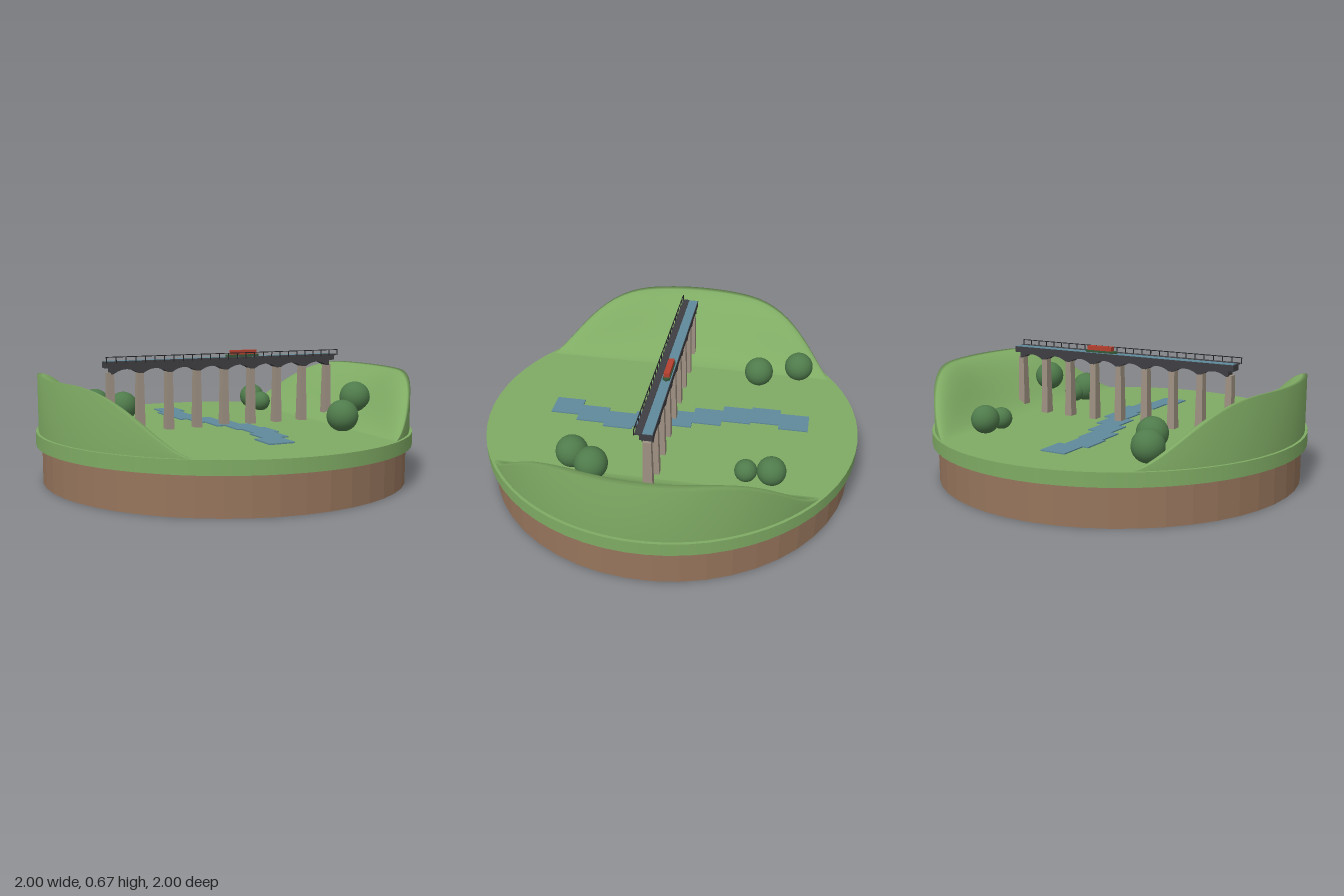
import * as THREE from 'three';

const mat = (name, color, extra = {}) => {
  const m = new THREE.MeshStandardMaterial({ color, ...extra });
  m.name = name;
  return m;
};

export function createModel() {
  const grass = mat('grass', 0x7fab64, { side: THREE.DoubleSide });
  const earth = mat('earth', 0x96755c);
  const stone = mat('stone', 0x9e9182);
  const iron = mat('iron', 0x3f3f43);
  const railing = mat('railing', 0x242427);
  const water = mat('water', 0x5f8a9b);
  const foliage = mat('foliage', 0x4f7b4b);
  const red = mat('cabinRed', 0xb5402f);
  const hullGreen = mat('hullGreen', 0x35583a);

  const model = new THREE.Group();
  model.name = 'canalBridgeLandscape';
  // Valley and bridge share one frame, turned 20 degrees
  const valley = new THREE.Group();
  valley.name = 'valley';
  valley.rotation.y = -THREE.MathUtils.degToRad(20);
  model.add(valley);

  const add = (parent, name, geo, material, x = 0, y = 0, z = 0) => {
    const m = new THREE.Mesh(geo, material);
    m.name = name;
    m.position.set(x, y, z);
    parent.add(m);
    return m;
  };
  const box = (parent, name, w, h, d, material, x, y, z) =>
    add(parent, name, new THREE.BoxGeometry(w, h, d), material, x, y, z);
  const faceted = (geo) => {
    const g = geo.toNonIndexed();
    g.computeVertexNormals();
    return g;
  };

  // Round base: earth drum and grass disc
  add(model, 'earthBase', faceted(new THREE.CylinderGeometry(0.97, 0.97, 0.2, 48)), earth, 0, 0.1, 0);
  add(model, 'grassDisc', new THREE.CylinderGeometry(1, 1, 0.07, 64), grass, 0, 0.233, 0);

  // Hillsides: rise from a straight foot to the round rim, then drop as a wall
  const smooth = (t) => THREE.MathUtils.smoothstep(t, 0, 1);
  const foot = 0.52, rim = 0.985, half = Math.sqrt(rim * rim - foot * foot);
  const rows = 48, cols = 14, ground = 0.266;
  const pos = [], index = [];
  for (let i = 0; i <= rows; i++) {
    const v = half * Math.sin((i / rows - 0.5) * Math.PI);
    const edge = Math.max(foot, Math.sqrt(rim * rim - v * v));
    const height = 0.295 * smooth((edge - foot) / 0.43);
    for (let j = 0; j <= cols; j++) {
      const t = j / cols;
      pos.push(foot + (edge - foot) * t, ground + height * smooth(t), v);
    }
    pos.push(edge, ground, v);
  }
  const stride = cols + 2;
  for (let i = 0; i < rows; i++) {
    for (let j = 0; j <= cols; j++) {
      const a = i * stride + j, b = a + stride;
      index.push(a, b, a + 1, b, b + 1, a + 1);
    }
  }
  const hill = new THREE.BufferGeometry();
  hill.setAttribute('position', new THREE.Float32BufferAttribute(pos, 3));
  hill.setIndex(index);
  hill.computeVertexNormals();
  add(valley, 'leftHill', hill, grass);
  add(valley, 'rightHill', hill, grass).rotation.y = Math.PI;

  // Stepped winding river
  [-0.062, -0.095, -0.078, -0.035, 0.01, 0.055, 0.08, 0.05, 0].forEach((u, i) =>
    box(valley, 'river', 0.138, 0.008, 0.158, water, u, 0.27 + i * 0.0001, -0.657 + i * 0.155));

  // Round bushy trees: x, y, z, radius
  for (const [x, y, z, r] of [
    [-0.273, 0.343, -0.789, 0.08], [-0.257, 0.345, -0.548, 0.08],
    [0.63, 0.34, -0.388, 0.073], [0.583, 0.322, -0.27, 0.057],
    [0.31, 0.345, 0.564, 0.083], [0.369, 0.325, 0.51, 0.06], [0.519, 0.42, 0.484, 0.082],
  ]) add(model, 'tree', new THREE.SphereGeometry(r, 24, 16), foliage, x, y, z);

  // Bridge
  const bridge = new THREE.Group();
  bridge.name = 'bridge';
  valley.add(bridge);

  // Tapered stone piers
  const bay = 0.16;
  const pierGeo = faceted(new THREE.CylinderGeometry(0.016 * Math.SQRT2, 0.021 * Math.SQRT2, 0.32, 4).rotateY(Math.PI / 4));
  pierGeo.scale(1, 1, 1.25);
  pierGeo.computeVertexNormals();
  for (let i = -4; i <= 4; i++) add(bridge, 'pier', pierGeo, stone, i * bay, 0.418, 0);

  // Iron arches between piers
  const arch = new THREE.Shape();
  arch.moveTo(-bay / 2, 0.603);
  arch.lineTo(-bay / 2, 0.572);
  arch.lineTo(-bay / 2 + 0.012, 0.572);
  arch.quadraticCurveTo(0, 0.618, bay / 2 - 0.012, 0.572);
  arch.lineTo(bay / 2, 0.572);
  arch.lineTo(bay / 2, 0.603);
  const archGeo = new THREE.ExtrudeGeometry(arch, { depth: 0.056, bevelEnabled: false, curveSegments: 10 });
  for (let i = 0; i < 8; i++) add(bridge, 'arch', archGeo, iron, (i - 3.5) * bay, 0, -0.028);

  // Trough, canal water and towpath
  box(bridge, 'trough', 1.34, 0.032, 0.064, iron, 0, 0.618, 0);
  box(bridge, 'canalWater', 1.33, 0.004, 0.049, water, 0, 0.6345, -0.005);
  box(bridge, 'towpath', 1.34, 0.008, 0.036, iron, 0, 0.633, 0.038);

  // Railing along the towpath
  const posts = 27, railHalf = 0.675, railZ = 0.057;
  for (let i = 0; i < posts; i++) {
    box(bridge, 'railPost', 0.004, 0.034, 0.004, railing,
      -railHalf + (2 * railHalf * i) / (posts - 1), 0.646, railZ);
  }
  box(bridge, 'topRail', 2 * railHalf, 0.004, 0.004, railing, 0, 0.661, railZ);

  // Narrow canal boat with pointed ends
  const boat = new THREE.Group();
  boat.name = 'boat';
  boat.position.set(0.112, 0, -0.006);
  bridge.add(boat);
  const hull = new THREE.Shape([[-0.1, 0], [-0.085, -0.018], [0.085, -0.018], [0.1, 0], [0.085, 0.018], [-0.085, 0.018]]
    .map(([x, y]) => new THREE.Vector2(x, y)));
  const hullGeo = new THREE.ExtrudeGeometry(hull, { depth: 0.014, bevelEnabled: false }).rotateX(-Math.PI / 2);
  add(boat, 'hull', hullGeo, hullGreen, 0, 0.634, 0);
  box(boat, 'cabin', 0.148, 0.024, 0.03, red, 0.005, 0.659, 0);

  return model;
}
